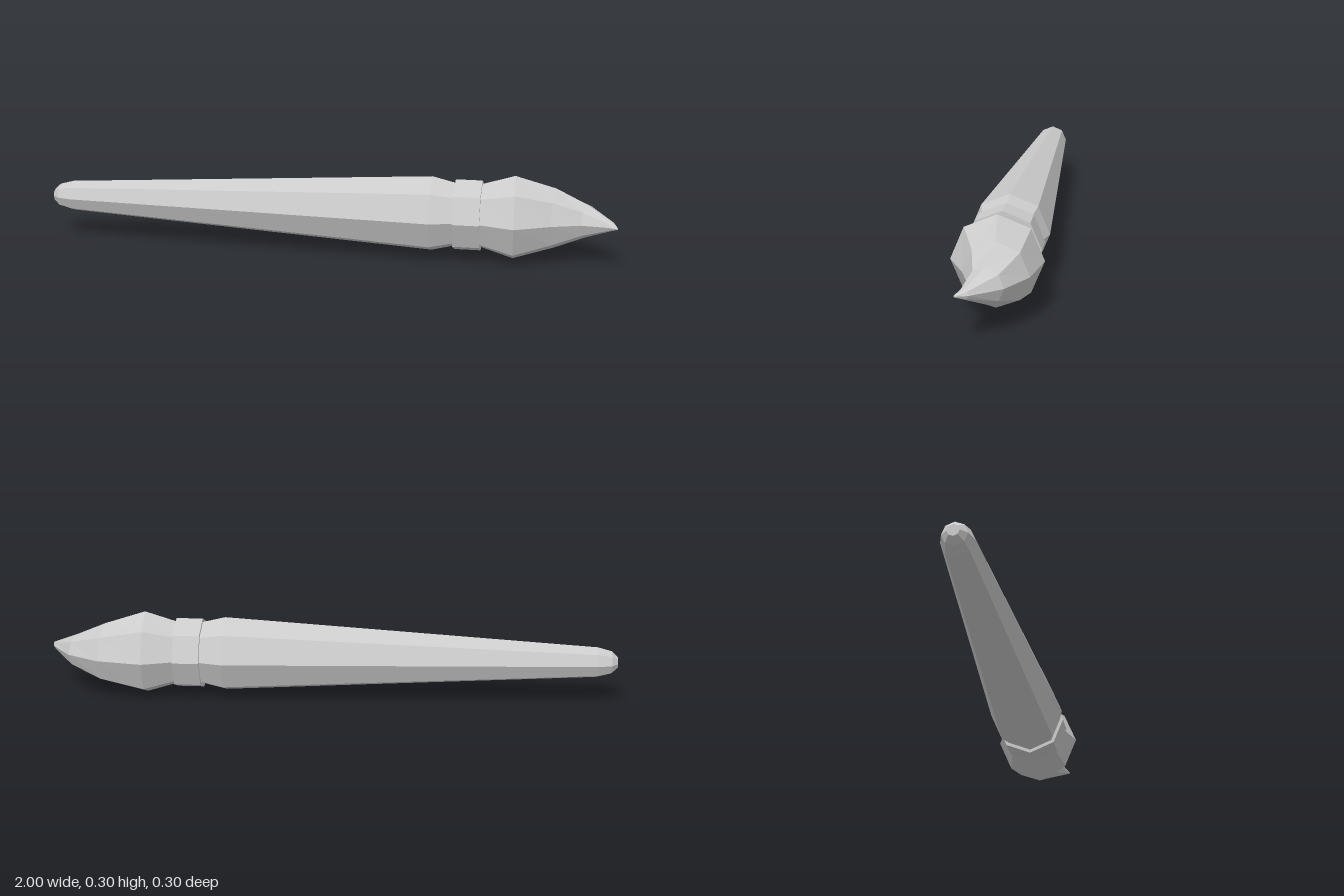
import * as THREE from 'three';

const SIDES = 8;
const AXIS_Y = 0.149;

// Octagonal loft along x. Each ring: [x, radius, z offset, x lean towards +z]
function loft(name, rings) {
  const pos = [], idx = [];
  for (const [x, r, cz = 0, lean = 0] of rings) {
    for (let i = 0; i < SIDES; i++) {
      const a = (i / SIDES) * Math.PI * 2;
      pos.push(x + lean * Math.sin(a), AXIS_Y + r * Math.cos(a), cz + r * Math.sin(a));
    }
  }
  for (let k = 0; k < rings.length - 1; k++) {
    for (let i = 0; i < SIDES; i++) {
      const a = k * SIDES + i, b = k * SIDES + (i + 1) % SIDES;
      idx.push(a, b, b + SIDES, a, b + SIDES, a + SIDES);
    }
  }
  // end caps
  const last = (rings.length - 1) * SIDES;
  for (let i = 1; i < SIDES - 1; i++) {
    idx.push(0, i + 1, i, last, last + i, last + i + 1);
  }
  const indexed = new THREE.BufferGeometry();
  indexed.setAttribute('position', new THREE.Float32BufferAttribute(pos, 3));
  indexed.setIndex(idx);
  const geometry = indexed.toNonIndexed();
  geometry.computeVertexNormals();
  const material = new THREE.MeshStandardMaterial({ color: 0xcccccc, flatShading: true });
  const mesh = new THREE.Mesh(geometry, material);
  mesh.name = name;
  return mesh;
}

export function createModel() {
  const brush = new THREE.Group();
  brush.name = 'paintbrush';

  // tapered handle with a rounded end and a narrowed neck
  brush.add(loft('handle', [
    [-1, 0.02], [-0.978, 0.041], [-0.93, 0.054], [0.365, 0.133], [0.447, 0.113],
  ]));

  // collar between handle and bristles
  brush.add(loft('ferrule', [[0.445, 0.126], [0.537, 0.126]]));

  // bristle head, its tip bent towards the front
  brush.add(loft('bristles', [
    [0.535, 0.113],
    [0.648, 0.148, 0, 0.006],
    [0.788, 0.106, -0.015, -0.013],
    [0.895, 0.058, 0, -0.02],
    [0.977, 0.016, 0.052, -0.012],
    [0.998, 0.003, 0.076, -0.002],
  ]));

  return brush;
}
